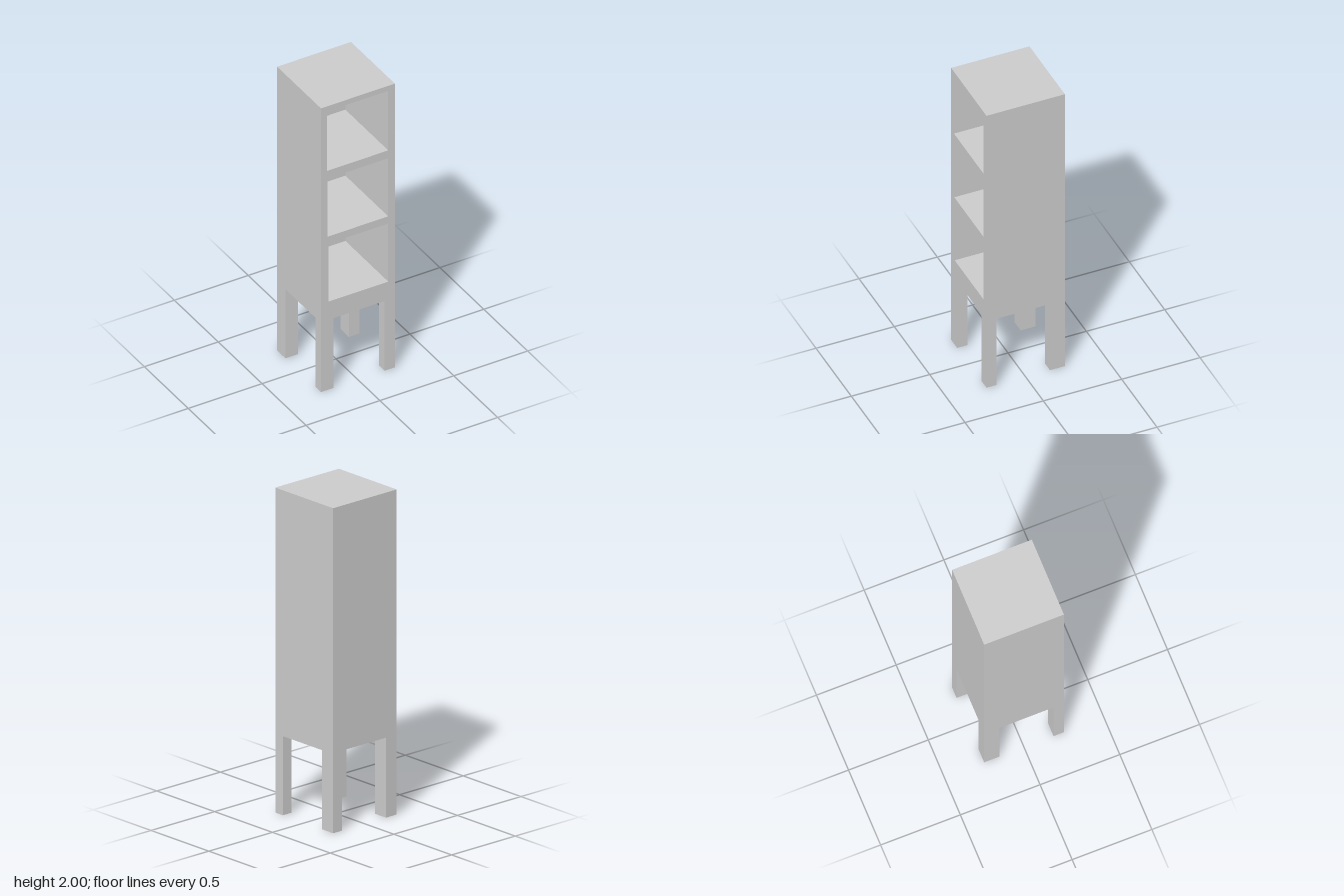
import * as THREE from 'three';

const HALF = 0.25, TOP = 2, BASE = 0.492, RAIL = 0.487, BACK = 0.012;
const LEG_X = [[-HALF, -0.165], [0.18, HALF]];
const LEG_Z = [[-HALF, -0.155], [0.185, HALF]];
// Compartments: left, right, bottom, top
const OPENINGS = [
  [-0.21, 0.205, 1.545, 1.965],
  [-0.205, 0.205, 1.08, 1.49],
  [-0.2, 0.205, 0.62, 1.03],
];

export function createModel() {
  const group = new THREE.Group();
  const material = new THREE.MeshStandardMaterial({ color: 0xcccccc });

  const add = (name, geometry) => {
    const mesh = new THREE.Mesh(geometry, material);
    mesh.name = name;
    group.add(mesh);
  };
  const addBox = (name, [x0, x1], [y0, y1], [z0, z1]) => {
    const box = new THREE.BoxGeometry(x1 - x0, y1 - y0, z1 - z0);
    add(name, box.translate((x0 + x1) / 2, (y0 + y1) / 2, (z0 + z1) / 2));
  };
  const points = (list) => list.map(([x, y]) => new THREE.Vector2(x, y));

  // Cabinet body with slightly lower side rails and three open compartments
  const innerLeft = LEG_X[0][1], innerRight = LEG_X[1][0];
  const outline = new THREE.Shape(points([
    [-HALF, RAIL], [innerLeft, RAIL], [innerLeft, BASE], [innerRight, BASE],
    [innerRight, RAIL], [HALF, RAIL], [HALF, TOP], [-HALF, TOP],
  ]));
  for (const [l, r, b, t] of OPENINGS) {
    outline.holes.push(new THREE.Path(points([[l, b], [l, t], [r, t], [r, b]])));
  }
  const body = new THREE.ExtrudeGeometry(outline, { depth: 2 * HALF - BACK, bevelEnabled: false });
  add('cabinetBody', body.translate(0, 0, BACK - HALF));

  // Thin panel closing the back
  addBox('backPanel', [-HALF, HALF], [BASE, TOP], [-HALF, BACK - HALF]);

  // Four corner legs
  LEG_X.forEach((x, i) => LEG_Z.forEach((z, j) => {
    addBox(`${j ? 'front' : 'back'}${i ? 'Left' : 'Right'}Leg`, x, [0, BASE], z);
  }));

  return group;
}
